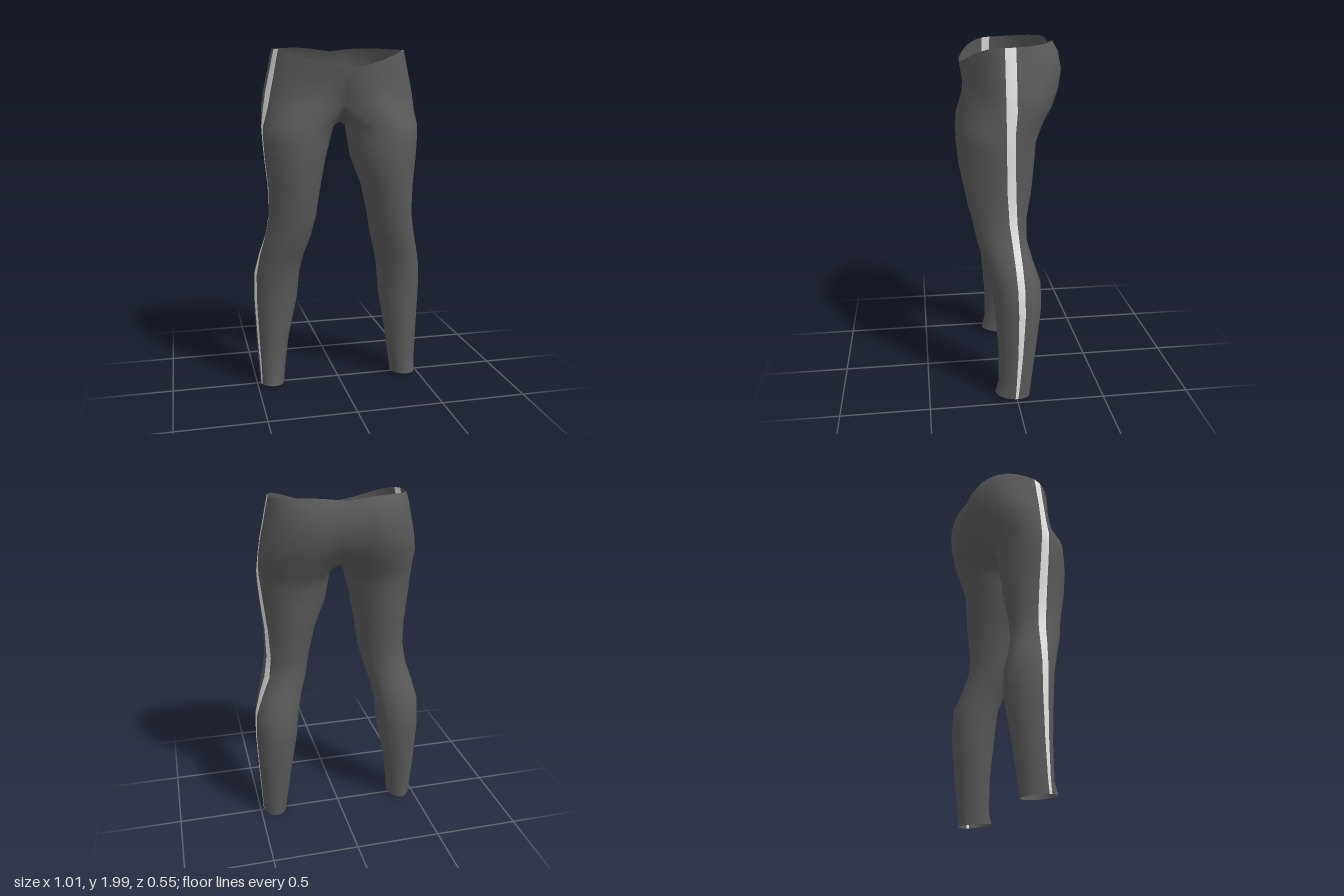
import * as THREE from 'three';
import { mergeVertices } from 'three/addons/utils/BufferGeometryUtils.js';

// Ring layout: 0..F front, F..G inner thigh, G..H back, H..0 side stripe
const F = 8, G = 18, H = 26, N = 27;
const rad = Math.PI / 180;

// Leg rings: y, outer x, inner x (left), inner x (right), front z, back z
const legRows = [
  [0.015, 0.482, 0.335, 0.34, 0.12, -0.08],
  [0.10, 0.486, 0.327, 0.333, 0.10, -0.09],
  [0.30, 0.497, 0.30, 0.305, 0.10, -0.115],
  [0.55, 0.508, 0.26, 0.25, 0.12, -0.145],
  [0.70, 0.504, 0.245, 0.238, 0.135, -0.14],
  [0.82, 0.475, 0.215, 0.215, 0.17, -0.10],
  [0.93, 0.443, 0.18, 0.18, 0.207, -0.07],
  [1.05, 0.422, 0.16, 0.15, 0.23, -0.07],
  [1.22, 0.423, 0.122, 0.125, 0.265, -0.10],
  [1.38, 0.44, 0.058, 0.095, 0.28, -0.117],
  [1.48, 0.448, 0.042, 0.068, 0.28, -0.125],
  [1.56, 0.451, 0.032, 0.042, 0.274, -0.155],
];

// Hip half-rings: side y, front y shift, back y shift, half width, front z, back z,
// and front z, back z, back y changes at the centre line
const hipRows = [
  [1.66, 0.02, 0, 0.444, 0.272, -0.24, -0.075, 0.07, 0.03],
  [1.75, 0, 0, 0.43, 0.255, -0.272, -0.02, 0.05, 0],
  [1.85, -0.03, 0, 0.407, 0.258, -0.288, 0, 0.035, 0],
  [1.93, -0.07, 0.015, 0.39, 0.265, -0.27, 0, 0.025, 0],
  [1.98, -0.10, 0.02, 0.378, 0.268, -0.235, 0, 0.005, -0.022],
];

// Stripe centre z and half width by height
const stripeRows = [[0, 0.005, 0.008], [0.2, -0.01, 0.011], [0.5, -0.022, 0.018], [0.75, -0.015, 0.02],
  [1, 0.01, 0.021], [1.1, 0.023, 0.024], [1.5, 0.035, 0.024], [2, 0.035, 0.024]];

function stripeAt(y) {
  const k = Math.max(1, stripeRows.findIndex((s) => s[0] >= y));
  const [a, b] = [stripeRows[k - 1], stripeRows[k]];
  const u = (y - a[0]) / (b[0] - a[0]);
  return [1, 2].map((j) => THREE.MathUtils.lerp(a[j], b[j], u));
}

// Angles round a ring: 0 is outermost, 90 degrees is the front
function ringAngles(y, side, zc, rf, rb, end) {
  const [mid, half] = stripeAt(y);
  const angle = (z) => Math.asin((z - zc) / (z > zc ? rf : rb));
  const shift = side < 0 ? 0.045 : 0;
  const a0 = angle(mid + shift + half), a1 = angle(mid + shift - half);
  const stops = [[0, a0], [F, end], [G, end === Math.PI / 2 ? -end : 2 * Math.PI - end],
    [H, end === Math.PI / 2 ? a1 : a1 + 2 * Math.PI]];
  return Array.from({ length: N }, (_, i) => {
    const k = i <= F ? 0 : i < G ? 1 : 2;
    const [p, q] = [stops[k], stops[k + 1]];
    return THREE.MathUtils.lerp(p[1], q[1], (i - p[0]) / (q[0] - p[0]));
  });
}

function legRing([y, xo, xl, xr, zf, zb], side, hem) {
  const xi = side > 0 ? xl : xr;
  const zc = (zf + zb) / 2, r = (zf - zb) / 2;
  return ringAngles(y, side, zc, r, r, 130 * rad).map((t) => {
    const z = zc + r * Math.sin(t);
    return new THREE.Vector3((xo + xi) / 2 + (xo - xi) / 2 * Math.cos(t), y + (hem ? 0.12 * z : 0), z);
  });
}

function hipRing([y, yf, yb, w, zf, zb, cf, cb, cy], side) {
  const zc = 0.02;
  return ringAngles(y, side, zc, zf - zc, zc - zb, Math.PI / 2).map((t) => {
    const s = Math.sin(t), c = Math.max(0, Math.cos(t));
    // The back is fuller than an ellipse
    const p = s < 0 ? 0.8 : 1;
    const x = c < 1e-6 ? 0 : w * Math.pow(c, p);
    const g = Math.exp(-((x / 0.1) ** 2));
    return s >= 0
      ? new THREE.Vector3(x, y + yf * s ** 3, zc + (zf - zc) * s + cf * g)
      : new THREE.Vector3(x, y - yb * s + cy * g, zc - (zc - zb) * Math.pow(-s, p) + cb * g);
  });
}

function createLeggings(materials) {
  const positions = [], fabric = [], stripe = [];
  for (const side of [1, -1]) {
    const rings = legRows.map((row, i) => legRing(row, side, i === 0))
      .concat(hipRows.map((row) => hipRing(row, side)));

    // Crotch curve closes the inside of the topmost leg ring
    const seam = rings[legRows.length];
    const crotch = new THREE.CatmullRomCurve3([seam[F].clone(), new THREE.Vector3(0, 1.605, 0.11),
      new THREE.Vector3(0, 1.578, 0.02), new THREE.Vector3(0, 1.605, -0.08), seam[G].clone()]);
    for (let i = F + 1; i < G; i++) seam[i] = crotch.getPoint((i - F) / (G - F));

    const base = positions.length / 3;
    rings.flat().forEach((v) => positions.push(v.x * side, v.y, v.z));
    for (let r = 0; r < rings.length - 1; r++) {
      for (let i = 0; i < N; i++) {
        if (r >= legRows.length && i >= F && i < G) continue;
        const j = (i + 1) % N;
        const a = base + r * N + i, b = base + r * N + j, c = b + N, d = a + N;
        (i === H ? stripe : fabric).push(...(side > 0 ? [a, c, b, a, d, c] : [a, b, c, a, c, d]));
      }
    }
  }
  let geometry = new THREE.BufferGeometry();
  geometry.setAttribute('position', new THREE.Float32BufferAttribute(positions, 3));
  geometry.setIndex([...fabric, ...stripe]);
  // Weld the centre seam so that shading runs smoothly across it
  geometry = mergeVertices(geometry, 1e-4);
  geometry.clearGroups();
  geometry.addGroup(0, fabric.length, 0);
  geometry.addGroup(fabric.length, stripe.length, 1);
  geometry.computeVertexNormals();
  const mesh = new THREE.Mesh(geometry, materials);
  mesh.name = 'leggings';
  return mesh;
}

export function createModel() {
  const material = (name, color) => {
    const m = new THREE.MeshStandardMaterial({ color, side: THREE.DoubleSide });
    m.name = name;
    return m;
  };
  const group = new THREE.Group();
  group.name = 'stripedLeggings';
  group.add(createLeggings([material('charcoal fabric', 0x5a5a5a), material('pale side stripe', 0xe6e6e6)]));
  return group;
}
